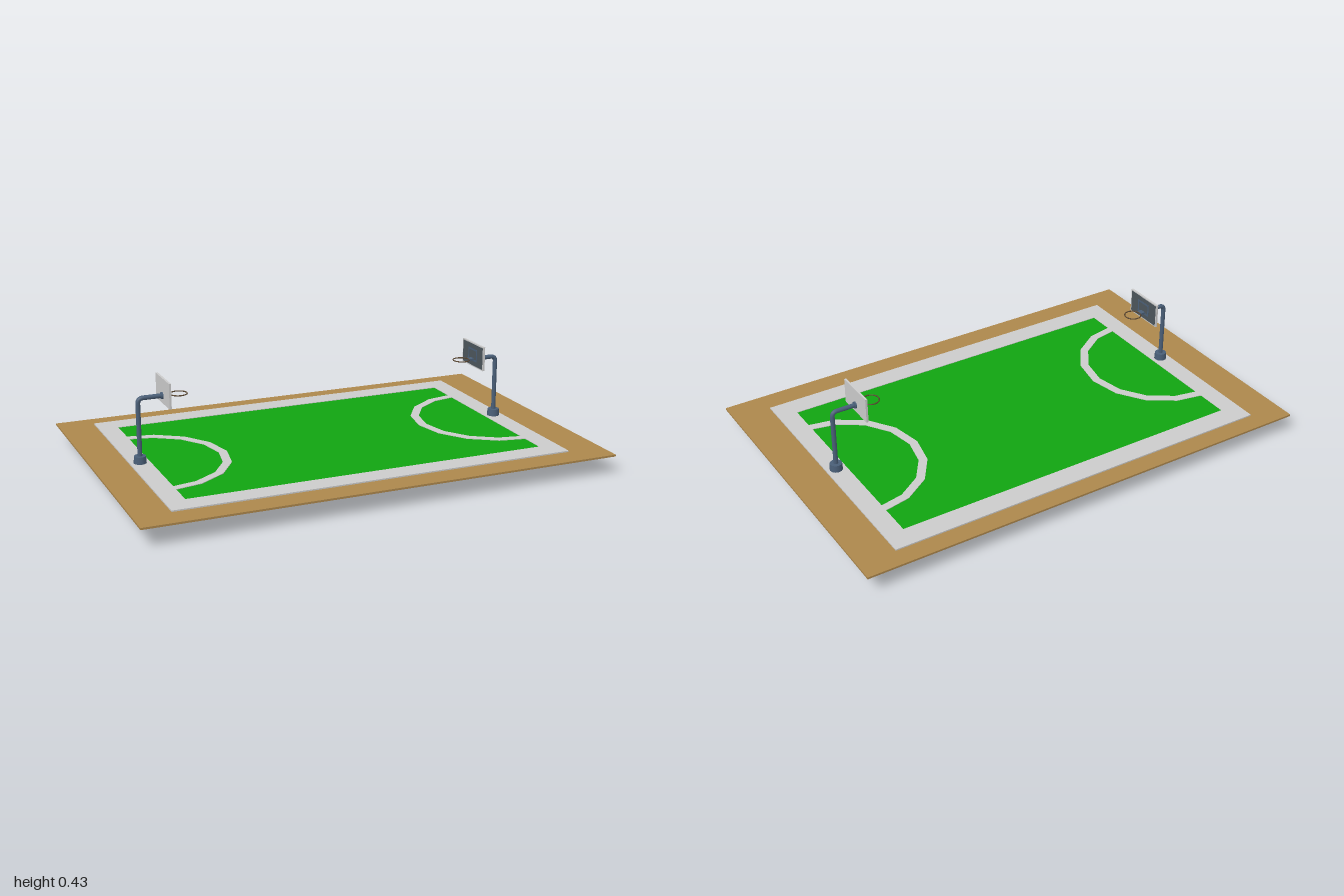
import * as THREE from 'three';

const mat = (color, extra = {}) => new THREE.MeshStandardMaterial({ color, ...extra });
const GREY = mat(0xcccccc);
const GREEN = mat(0x11a411);
const BROWN = mat(0xac874c);
const STEEL = mat(0x4a5f78);
const DARK = mat(0x4c565c);
const RIM = mat(0x5a4630);

function add(parent, name, geometry, material, x = 0, y = 0, z = 0) {
  const mesh = new THREE.Mesh(geometry, material);
  mesh.name = name;
  mesh.position.set(x, y, z);
  parent.add(mesh);
  return mesh;
}

// Rectangle centred on the origin, as a Shape or a hole Path
function rect(Type, w, h) {
  const p = new Type();
  p.moveTo(-w / 2, -h / 2);
  p.lineTo(w / 2, -h / 2);
  p.lineTo(w / 2, h / 2);
  p.lineTo(-w / 2, h / 2);
  p.closePath();
  return p;
}

function rectFrame(w, h, innerW, innerH, depth) {
  const shape = rect(THREE.Shape, w, h);
  shape.holes.push(rect(THREE.Path, innerW, innerH));
  return new THREE.ExtrudeGeometry(shape, { depth, bevelEnabled: false });
}

// Half ring wall: a rectangular section swept 180 degrees
function halfRing(inner, outer, height, segments) {
  const profile = [[inner, 0], [outer, 0], [outer, 0], [outer, height], [outer, height],
    [inner, height], [inner, height], [inner, 0]].map(([x, y]) => new THREE.Vector2(x, y));
  return new THREE.LatheGeometry(profile, segments, 0, Math.PI);
}

// One end of the court, at -x and facing +x
function createEnd() {
  const end = new THREE.Group();

  // Three-point arc, reaching down to the ground
  add(end, 'courtArc', halfRing(0.312, 0.348, 0.0875, 8), mat(0xcccccc, { side: THREE.DoubleSide }), -0.787);

  const goal = new THREE.Group();
  goal.name = 'basketStand';
  end.add(goal);

  // Foot and bent pole
  const px = -0.806, armY = 0.356, bend = 0.022;
  add(goal, 'poleFoot', new THREE.CylinderGeometry(0.025, 0.027, 0.035, 12), STEEL, px, 0.0995);
  const path = new THREE.CurvePath();
  const v = (x, y) => new THREE.Vector3(x, y, 0);
  path.add(new THREE.LineCurve3(v(px, 0.1), v(px, armY - bend)));
  path.add(new THREE.QuadraticBezierCurve3(v(px, armY - bend), v(px, armY), v(px + bend, armY)));
  path.add(new THREE.LineCurve3(v(px + bend, armY), v(-0.7, armY)));
  add(goal, 'pole', new THREE.TubeGeometry(path, 60, 0.0095, 10), STEEL);

  // Backboard with its mounting flange
  add(goal, 'backboard', new THREE.BoxGeometry(0.009, 0.105, 0.18), GREY, -0.699, 0.375);
  const flange = add(goal, 'flange', new THREE.CylinderGeometry(0.014, 0.014, 0.008, 12), STEEL, -0.707, armY);
  flange.rotation.z = Math.PI / 2;

  // Dark front panel and target rectangle
  add(goal, 'boardPanel', new THREE.BoxGeometry(0.001, 0.095, 0.17), DARK, -0.6942, 0.375);
  const target = add(goal, 'targetFrame', rectFrame(0.075, 0.055, 0.06, 0.04, 0.001), STEEL, -0.694, 0.375);
  target.rotation.y = Math.PI / 2;

  // Hoop and bracket
  add(goal, 'hoopBracket', new THREE.BoxGeometry(0.022, 0.008, 0.026), STEEL, -0.684, armY);
  const hoop = add(goal, 'hoop', new THREE.TorusGeometry(0.035, 0.0025, 6, 24), RIM, -0.638, armY + 0.001);
  hoop.rotation.x = Math.PI / 2;
  return end;
}

export function createModel() {
  const model = new THREE.Group();
  model.name = 'basketballCourt';

  // Ground slab and court surface
  add(model, 'groundSlab', new THREE.BoxGeometry(2, 0.008, 1.31), BROWN, 0, 0.078);
  add(model, 'courtSurface', new THREE.BoxGeometry(1.59, 0.018, 1.04), GREEN, -0.005, 0.076);

  // Boundary line around the court
  const border = add(model, 'boundaryLine', rectFrame(1.694, 1.124, 1.53, 0.938, 0.006), GREY, -0.005, 0.0815, -0.012);
  border.rotation.x = -Math.PI / 2;

  // Two matching ends
  const ends = new THREE.Group();
  ends.name = 'courtEnds';
  ends.position.x = -0.005;
  for (const [name, turn] of [['rightEnd', 0], ['leftEnd', Math.PI]]) {
    const end = createEnd();
    end.name = name;
    end.rotation.y = turn;
    ends.add(end);
  }
  model.add(ends);
  return model;
}
